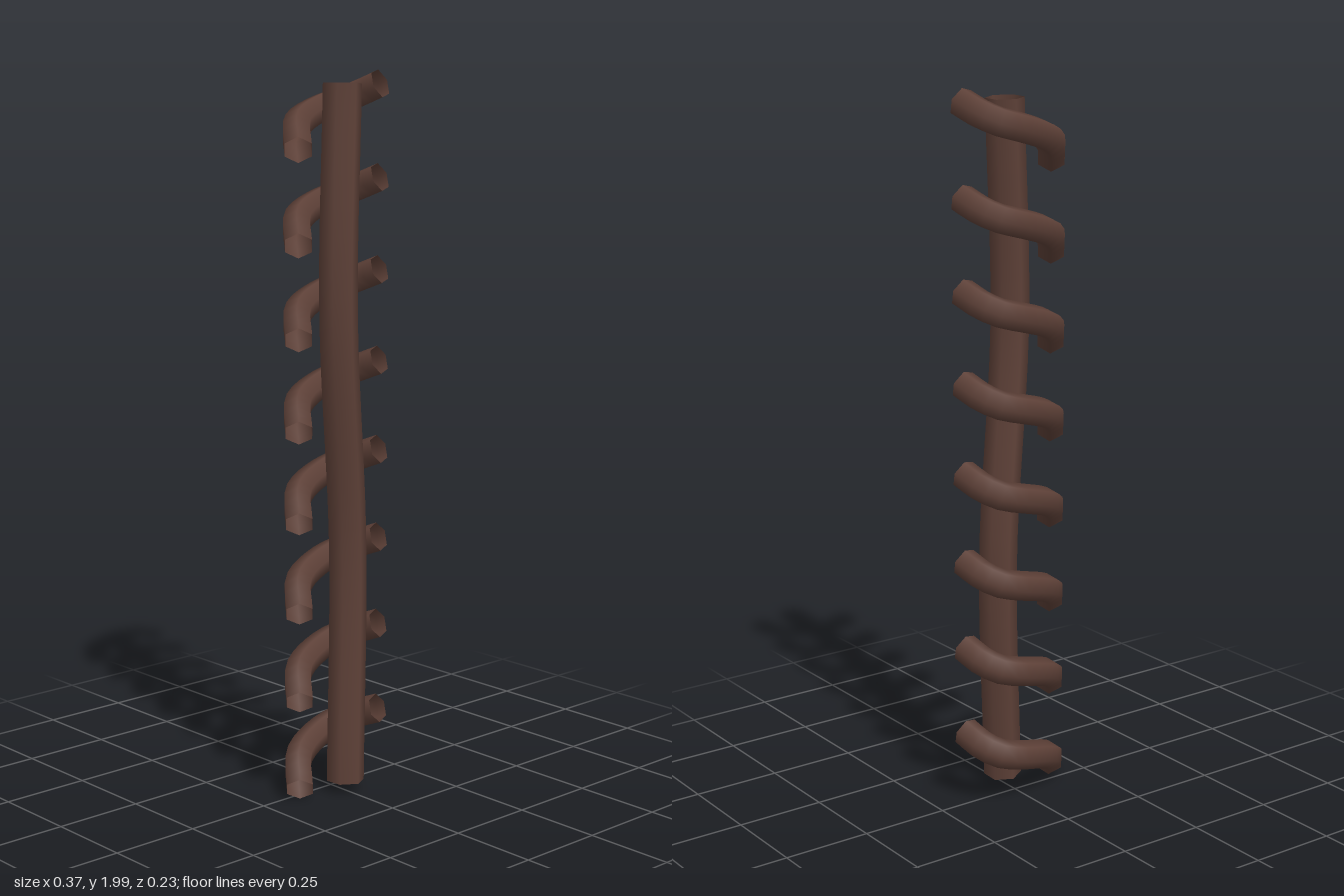
import * as THREE from 'three';

const bark = new THREE.MeshStandardMaterial({ color: 0x5d4037, side: THREE.DoubleSide });
bark.name = 'brown bark';

// Open six-sided tube along a smooth path
function tube(name, points, radius, segments) {
  const curve = new THREE.CatmullRomCurve3(points.map(p => new THREE.Vector3(...p)));
  const mesh = new THREE.Mesh(new THREE.TubeGeometry(curve, segments, radius, 6), bark);
  mesh.name = name;
  return mesh;
}

export function createModel() {
  const model = new THREE.Group();
  model.name = 'twistedVine';

  // Gently swaying upright stem
  model.add(tube('stem', [
    [0, 0.04, 0.06], [0.034, 0.7, 0.032], [-0.027, 1.36, 0.06], [0, 1.965, 0.045],
  ], 0.053, 24));

  // Eight identical curls wrapping behind the stem
  const curl = tube('curl', [
    [-0.153, 0.045, 0.041], [-0.085, 0.108, -0.037], [0.04, 0.15, -0.074],
    [0.095, 0.165, -0.067], [0.13, 0.185, -0.03], [0.147, 0.212, 0.036],
  ], 0.041, 14);
  for (let i = 0; i < 8; i++) {
    const copy = curl.clone();
    copy.name = `curl${i + 1}`;
    copy.position.y = i * 0.25;
    model.add(copy);
  }
  return model;
}
